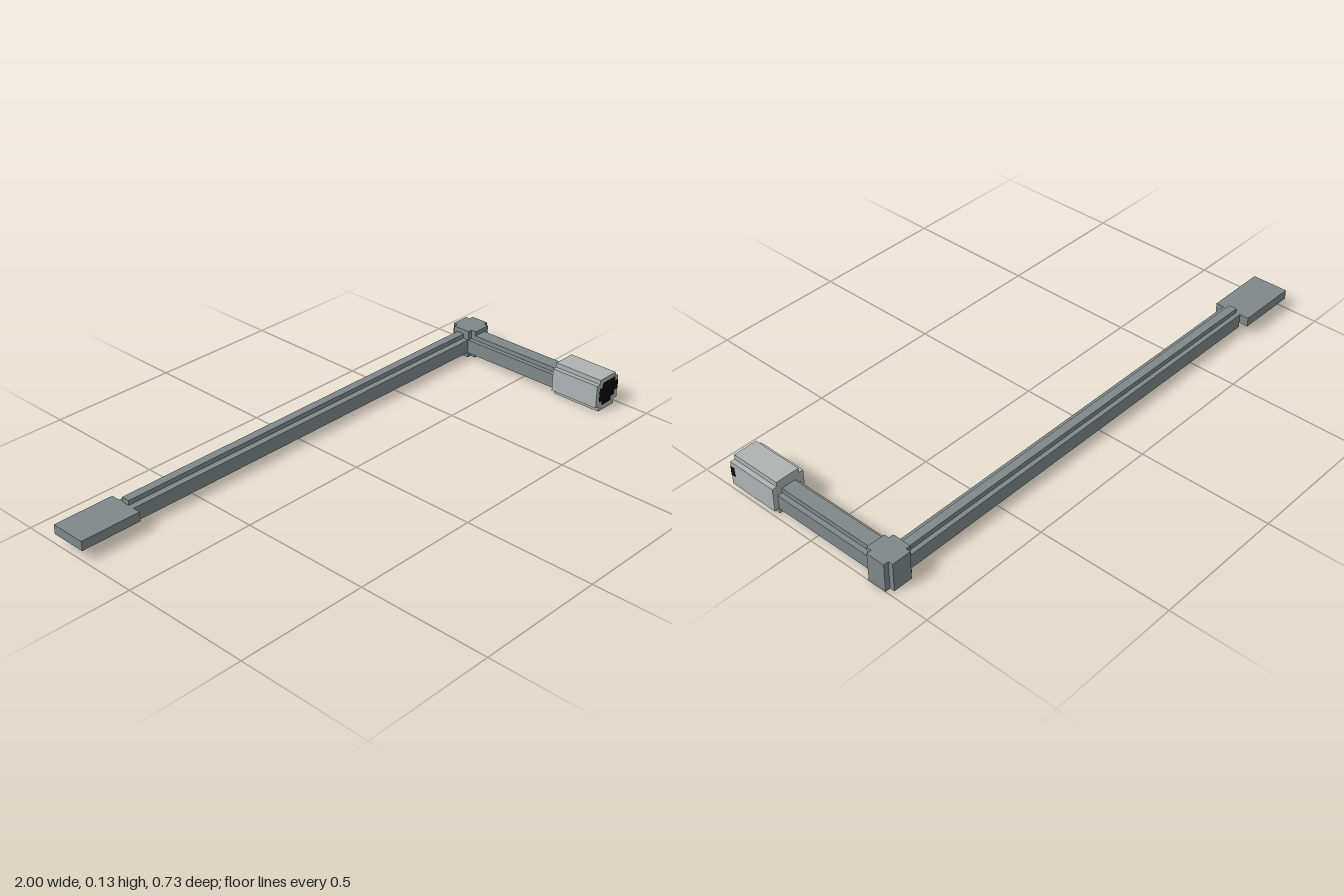
import * as THREE from 'three';

export function createModel() {
  const model = new THREE.Group();
  const steel = new THREE.MeshStandardMaterial({ color: 0x7f888a });
  steel.name = 'dark steel';
  const silver = new THREE.MeshStandardMaterial({ color: 0xb0b3b3 });
  silver.name = 'light metal';
  const black = new THREE.MeshStandardMaterial({ color: 0x0a0a0a });
  black.name = 'black socket';

  // Box given by its extents on each axis
  const box = (name, material, [x0, x1], [y0, y1], [z0, z1]) => {
    const mesh = new THREE.Mesh(new THREE.BoxGeometry(x1 - x0, y1 - y0, z1 - z0), material);
    mesh.position.set((x0 + x1) / 2, (y0 + y1) / 2, (z0 + z1) / 2);
    mesh.name = name;
    model.add(mesh);
  };

  // Flat pry tip
  box('flatTip', steel, [-1, -0.765], [0.038, 0.074], [-0.365, -0.226]);

  // Long arm with a raised rib
  box('longArm', steel, [-0.765, 0.9], [0.02, 0.074], [-0.33, -0.257]);
  box('longArmRib', steel, [-0.765, 0.9], [0.074, 0.092], [-0.313, -0.281]);

  // Corner knuckle: two crossed blocks
  box('cornerWide', steel, [0.89, 1], [0, 0.11], [-0.328, -0.256]);
  box('cornerDeep', steel, [0.908, 0.981], [0, 0.11], [-0.346, -0.236]);

  // Short arm with a raised rib
  box('shortArm', steel, [0.89, 0.981], [0.02, 0.074], [-0.256, 0.165]);
  box('shortArmRib', steel, [0.908, 0.962], [0.074, 0.092], [-0.256, 0.165]);

  // Socket head: two crossed blocks
  box('socketWide', silver, [0.872, 0.999], [0.02, 0.11], [0.165, 0.365]);
  box('socketTall', silver, [0.89, 0.981], [0, 0.128], [0.165, 0.365]);

  // Stepped black opening, one bar per row from the bottom up
  const rows = [[0.908, 0.962], [0.89, 0.981], [0.89, 1], [0.89, 1], [0.908, 0.981]];
  rows.forEach((span, i) => {
    const y = 0.02 + i * 0.018;
    box('socketOpening', black, span, [y, y + 0.018], [0.348, 0.366]);
  });

  return model;
}
